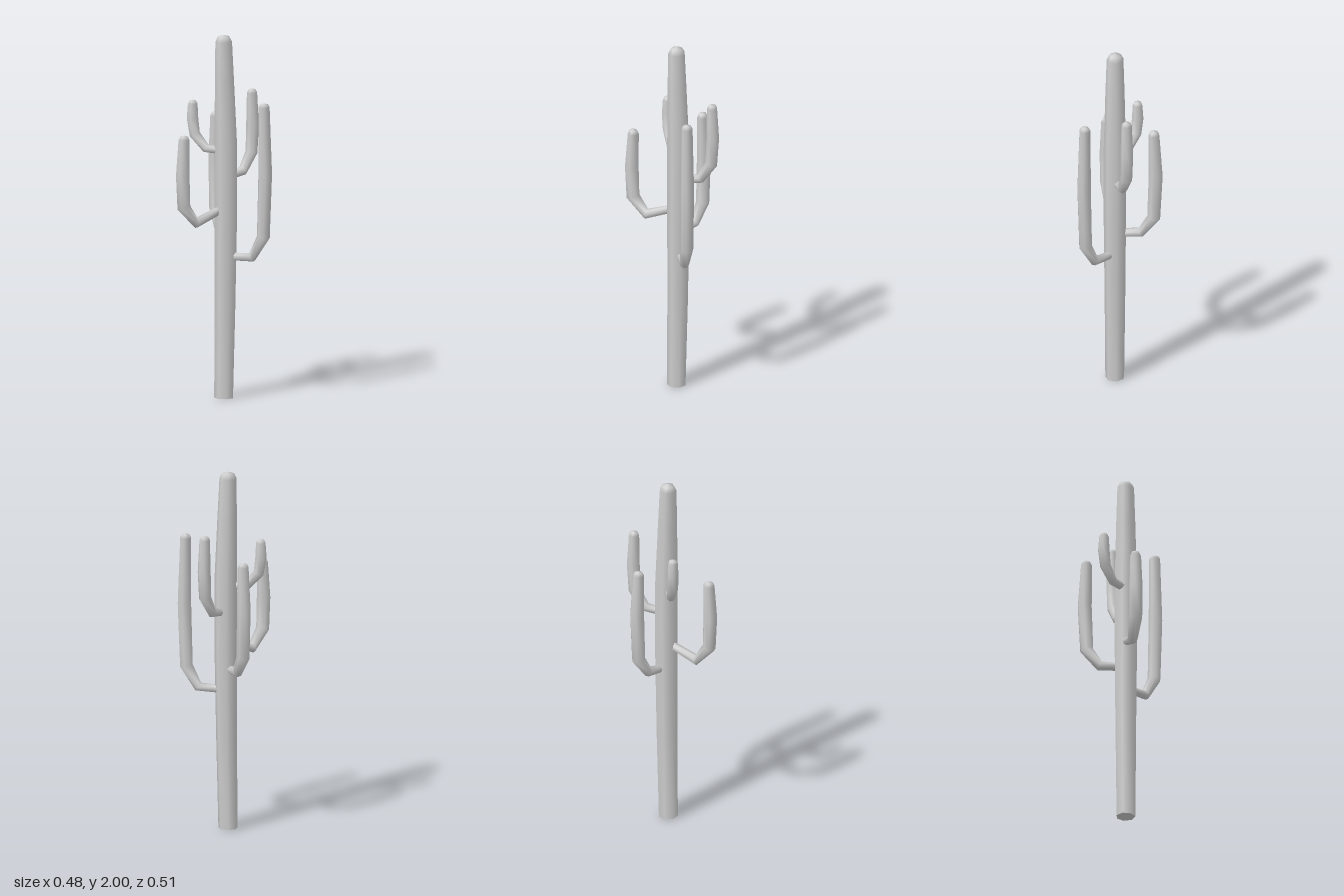
import * as THREE from 'three';

const SIDES = 7;
const material = new THREE.MeshStandardMaterial({ color: 0xcccccc });

// Tapered tube through stations [x, y, z, radius]; flat start, rounded tip.
// "across" is the horizontal direction square to the plane the limb bends in.
function limb(name, stations, across) {
  const rings = stations.map(([x, y, z, r]) => ({ p: new THREE.Vector3(x, y, z), r }));
  const apex = rings.pop();
  const dir = apex.p.clone().sub(rings[rings.length - 1].p).normalize();
  for (const [back, scale] of [[0.8, 1], [0.22, 0.72], [0, 0.001]]) {
    rings.push({ p: apex.p.clone().addScaledVector(dir, -back * apex.r), r: apex.r * scale });
  }

  const positions = [], index = [];
  const addRing = (i) => {
    const { p, r } = rings[i];
    const before = rings[Math.max(i - 1, 0)].p;
    const after = rings[Math.min(i + 1, rings.length - 1)].p;
    const tangent = after.clone().sub(before).normalize();
    const normal = tangent.clone().cross(across).normalize();
    for (let j = 0; j < SIDES; j++) {
      const a = (j / SIDES) * Math.PI * 2;
      const v = p.clone()
        .addScaledVector(across, Math.cos(a) * r)
        .addScaledVector(normal, Math.sin(a) * r);
      positions.push(v.x, v.y, v.z);
    }
  };

  rings.forEach((_, i) => addRing(i));
  for (let i = 0; i < rings.length - 1; i++) {
    for (let j = 0; j < SIDES; j++) {
      const a = i * SIDES + j, b = i * SIDES + ((j + 1) % SIDES);
      index.push(a, b, a + SIDES, b, b + SIDES, a + SIDES);
    }
  }
  // flat start cap on its own vertices so the rim stays sharp
  const cap = positions.length / 3;
  addRing(0);
  for (let j = 1; j < SIDES - 1; j++) index.push(cap, cap + j + 1, cap + j);

  const geometry = new THREE.BufferGeometry();
  geometry.setAttribute('position', new THREE.Float32BufferAttribute(positions, 3));
  geometry.setIndex(index);
  geometry.computeVertexNormals();
  const mesh = new THREE.Mesh(geometry, material);
  mesh.name = name;
  return mesh;
}

// Arm in the vertical plane from root (x, z) to tip (x, z).
// Profile rows: [fraction along root-to-tip, height, radius].
function arm(name, [x0, z0], [x1, z1], profile) {
  const across = new THREE.Vector3(z1 - z0, 0, x0 - x1).normalize();
  const stations = profile.map(([t, y, r]) => [x0 + (x1 - x0) * t, y, z0 + (z1 - z0) * t, r]);
  return limb(name, stations, across);
}

export function createModel() {
  const cactus = new THREE.Group();
  cactus.name = 'cactus';

  // trunk, slightly swollen in the middle
  cactus.add(limb('trunk', [
    [-0.033, 0, -0.019, 0.053],
    [-0.029, 0.5, -0.027, 0.058],
    [-0.026, 1.0, -0.031, 0.063],
    [-0.026, 1.4, -0.031, 0.063],
    [-0.031, 1.75, -0.024, 0.054],
    [-0.034, 2.0, -0.02, 0.047],
  ], new THREE.Vector3(0, 0, 1)));

  // arms, each reaching out, bending at an elbow and rising to a tip
  cactus.add(arm('leftArm', [0.01, -0.04], [0.197, -0.068], [
    [0, 0.78, 0.022], [0.62, 0.785, 0.027], [0.98, 0.9, 0.036],
    [1.04, 1.25, 0.038], [1, 1.64, 0.031],
  ]));
  cactus.add(arm('frontArm', [-0.04, -0.01], [-0.135, 0.212], [
    [0, 1.04, 0.022], [0.68, 0.98, 0.029], [1.01, 1.075, 0.037],
    [1.04, 1.25, 0.038], [1, 1.47, 0.031],
  ]));
  cactus.add(arm('rightArm', [-0.04, -0.015], [-0.209, 0.024], [
    [0, 1.36, 0.022], [0.55, 1.367, 0.025], [0.93, 1.44, 0.03],
    [1.01, 1.53, 0.032], [1, 1.63, 0.027],
  ]));
  cactus.add(arm('backRightArm', [-0.05, -0.045], [-0.188, -0.165], [
    [0, 0.9, 0.022], [0.6, 0.91, 0.028], [1, 1.01, 0.037],
    [1.06, 1.27, 0.039], [1, 1.54, 0.031],
  ]));
  cactus.add(arm('backArm', [-0.02, -0.05], [0.02, -0.21], [
    [0, 1.22, 0.022], [0.6, 1.235, 0.027], [0.98, 1.33, 0.034],
    [1.03, 1.48, 0.036], [1, 1.68, 0.029],
  ]));

  return cactus;
}
